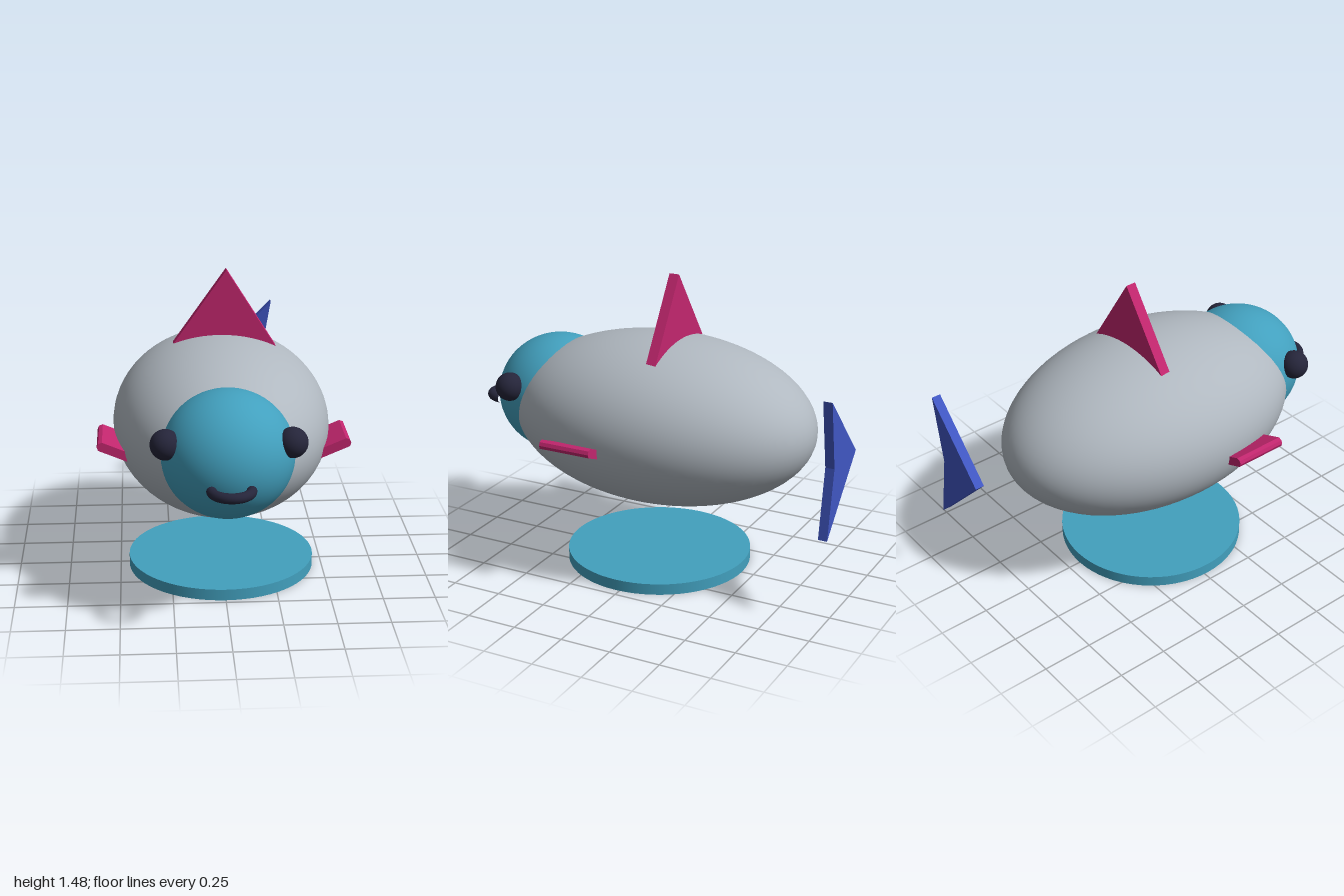
import * as THREE from 'three';

const paint = (name, color) => {
  const m = new THREE.MeshStandardMaterial({ color });
  m.name = name;
  return m;
};

export function createModel() {
  const grey = paint('bodyGrey', 0xb0b8c0);
  const teal = paint('teal', 0x42a0be);
  const magenta = paint('finMagenta', 0xc2266e);
  const blue = paint('tailBlue', 0x4056c2);
  const dark = paint('darkNavy', 0x25253a);

  const group = new THREE.Group();
  group.name = 'fish';

  const add = (name, geometry, material, x = 0, y = 0, z = 0) => {
    const mesh = new THREE.Mesh(geometry, material);
    mesh.name = name;
    mesh.position.set(x, y, z);
    group.add(mesh);
    return mesh;
  };
  const ellipsoid = (rx, ry, rz) => new THREE.SphereGeometry(1, 64, 40).scale(rx, ry, rz);
  // flat plate from an outline in x and y, thickened towards +z
  const plate = (points, depth) => new THREE.ExtrudeGeometry(
    new THREE.Shape(points.map(([x, y]) => new THREE.Vector2(x, y))),
    { depth, bevelEnabled: false });

  // round stand
  add('stand', new THREE.CylinderGeometry(0.457, 0.457, 0.055, 64), teal, 0, 0.0275, 0.02);

  // body and head
  add('body', ellipsoid(0.522, 0.411, 0.785), grey, 0, 0.75, 0);
  add('head', ellipsoid(0.308, 0.296, 0.308), teal, 0, 0.785, 0.58);

  // half-ring mouth lying flat, bulging forward
  const mouth = new THREE.TorusGeometry(0.088, 0.0235, 16, 40, Math.PI).rotateX(Math.PI / 2);
  add('mouth', mouth, dark, 0, 0.722, 0.8885);

  // dorsal fin, its base sunk in the back
  add('dorsalFin', plate([[-0.31, 1], [0.333, 1], [0.031, 1.48]], 0.05), magenta, 0, 0, -0.1);

  // notched tail plate
  add('tail', plate([[0, 0.752], [0.325, 0.42], [0.268, 0.752], [0.325, 1.085]], 0.044), blue, 0, 0, -1);

  // eyes and side fins, mirrored
  const finOutline = [[-0.22, -0.022], [-0.008, -0.022], [0.004, -0.009], [0.004, 0.009], [-0.01, 0.022], [-0.22, 0.022]];
  for (const side of [1, -1]) {
    const label = side > 0 ? 'left' : 'right';
    add(label + 'Eye', new THREE.SphereGeometry(0.07, 32, 24), dark, side * 0.283, 0.874, 0.7);

    const outline = side > 0 ? finOutline : finOutline.map(([x, y]) => [-x, y]);
    const fin = add(label + 'SideFin', plate(outline, 0.263), magenta, side * 0.59, 0.743, 0.08);
    fin.rotation.z = side * 0.4;
  }

  return group;
}
